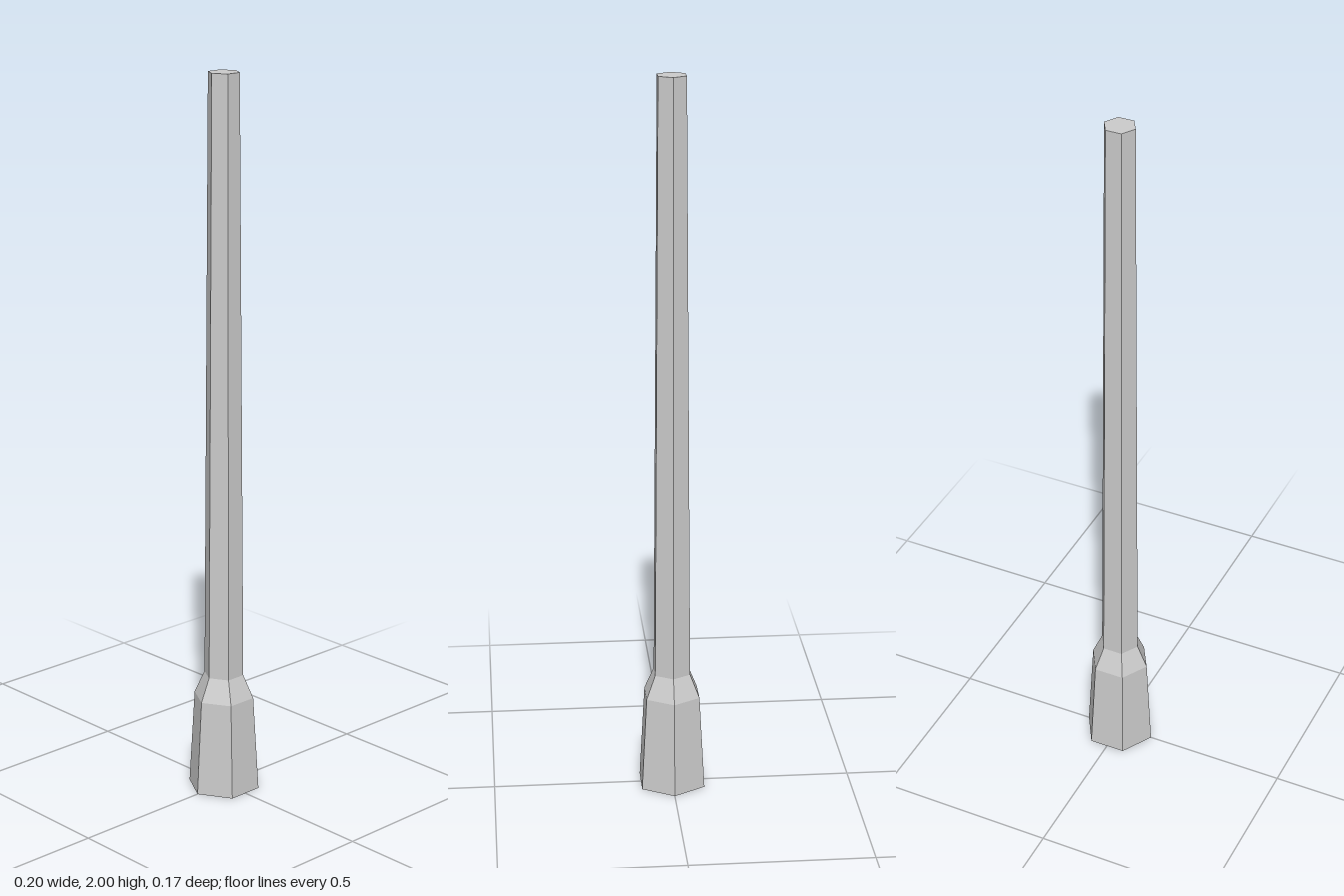
import * as THREE from 'three';

const material = new THREE.MeshStandardMaterial({ color: 0xcccccc, flatShading: true });

// Six-sided solid from a [radius, height] profile, with corners on the x axis
function hexPart(name, profile) {
  const points = profile.map(([r, y]) => new THREE.Vector2(r, y));
  const mesh = new THREE.Mesh(new THREE.LatheGeometry(points, 6, Math.PI / 2), material);
  mesh.name = name;
  return mesh;
}

export function createModel() {
  const group = new THREE.Group();
  group.name = 'hexagonalPole';

  // Closed underside, tapered foot and sloping shoulder
  group.add(hexPart('base', [[0, 0], [0.101, 0], [0.085, 0.27], [0.056, 0.335]]));

  // Long tapered shaft with a flat top
  group.add(hexPart('shaft', [[0.056, 0.335], [0.043, 2], [0, 2]]));

  return group;
}
